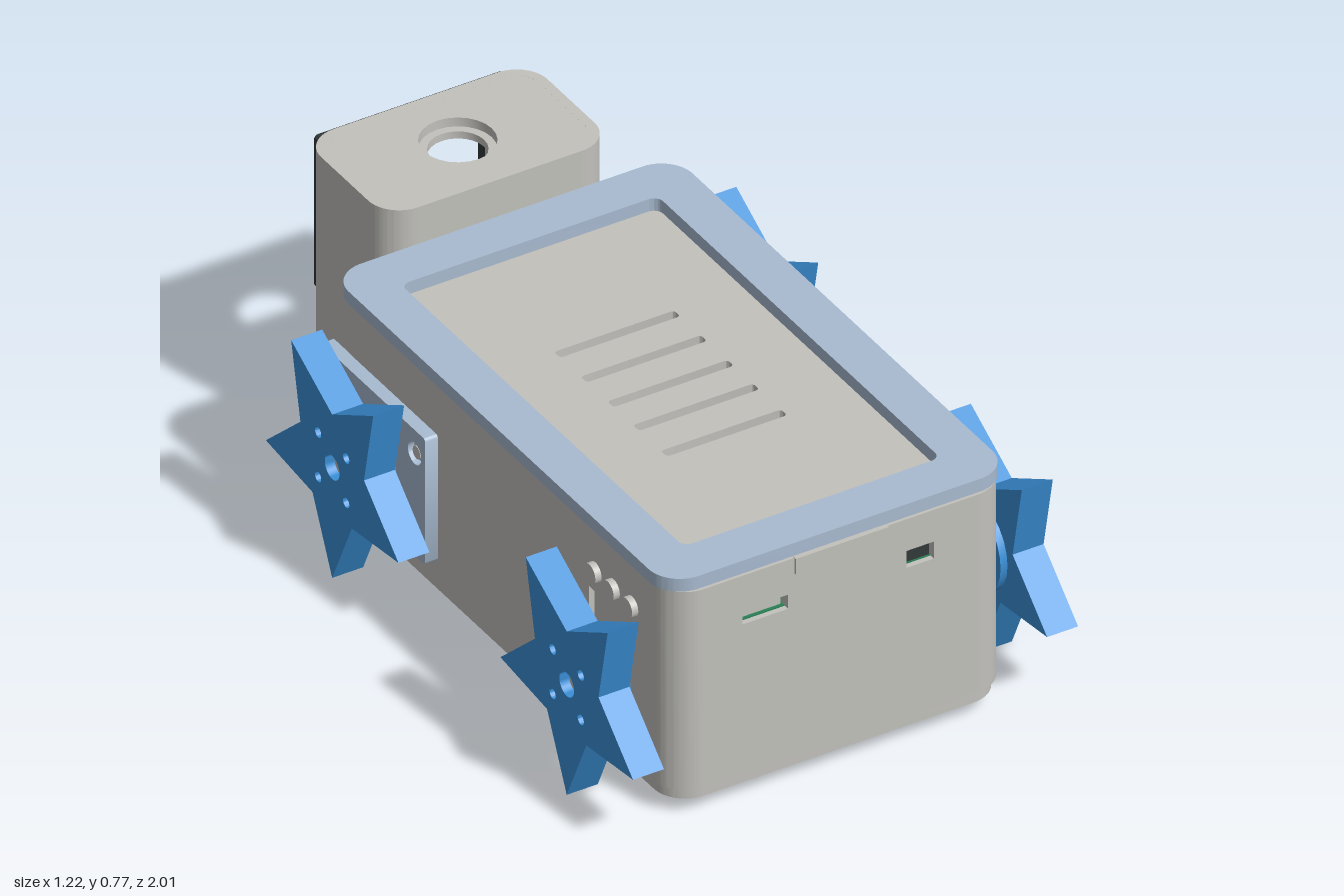
import * as THREE from 'three';
import { toCreasedNormals } from 'three/addons/utils/BufferGeometryUtils.js';

const mat = (name, color) => {
  const m = new THREE.MeshStandardMaterial({ color });
  m.name = name;
  return m;
};

export function createModel() {
  const gray = mat('warm gray', 0xc2c1bc);
  const paleBlue = mat('pale blue', 0xa8bbd0);
  const blue = mat('bright blue', 0x3a8fd6);
  const dark = mat('dark slate', 0x323838);
  const green = mat('board green', 0x2b8057);

  const root = new THREE.Group();
  root.name = 'rover';

  const add = (name, geo, material, x = 0, y = 0, z = 0, parent = root) => {
    const m = new THREE.Mesh(geo, material);
    m.name = name;
    m.position.set(x, y, z);
    parent.add(m);
    return m;
  };
  // box from its minimum and maximum corners
  const box = (name, material, x0, x1, y0, y1, z0, z1, parent) =>
    add(name, new THREE.BoxGeometry(x1 - x0, y1 - y0, z1 - z0), material,
      (x0 + x1) / 2, (y0 + y1) / 2, (z0 + z1) / 2, parent);

  // rounded rectangle and circle outlines
  const rect = (Type, x0, x1, y0, y1, r = 0) => {
    const s = new Type();
    if (!r) {
      s.moveTo(x0, y0); s.lineTo(x1, y0); s.lineTo(x1, y1); s.lineTo(x0, y1);
    } else {
      s.moveTo(x0 + r, y0);
      s.absarc(x1 - r, y0 + r, r, -Math.PI / 2, 0);
      s.absarc(x1 - r, y1 - r, r, 0, Math.PI / 2);
      s.absarc(x0 + r, y1 - r, r, Math.PI / 2, Math.PI);
      s.absarc(x0 + r, y0 + r, r, Math.PI, Math.PI * 1.5);
    }
    s.closePath();
    return s;
  };
  const circle = (x, y, r) => new THREE.Path().absarc(x, y, r, 0, Math.PI * 2, true);
  const extrude = (shape, depth, holes = []) => {
    shape.holes.push(...holes);
    return toCreasedNormals(
      new THREE.ExtrudeGeometry(shape, { depth, bevelEnabled: false, curveSegments: 12 }), 0.6);
  };
  // horizontal plate; shape y is -z
  const slab = (name, material, shape, y0, y1, holes, parent) =>
    add(name, extrude(shape, y1 - y0, holes).rotateX(-Math.PI / 2), material, 0, y0, 0, parent);
  // plates facing z, and facing x (shape x is -z)
  const wallZ = (name, material, shape, z0, t, holes, parent) =>
    add(name, extrude(shape, t, holes), material, 0, 0, z0, parent);
  const wallX = (name, material, shape, x0, t, holes, parent) =>
    add(name, extrude(shape, t, holes).rotateY(Math.PI / 2), material, x0, 0, 0, parent);
  const discX = (name, material, r, x0, x1, y, z, parent) =>
    add(name, new THREE.CylinderGeometry(r, r, x1 - x0, 28).rotateZ(-Math.PI / 2),
      material, (x0 + x1) / 2, y, z, parent);

  // hollow box with rounded upright corners; holes are listed per wall
  const shell = (name, w, y0, y1, z0, z1, r, t, holes) => {
    const g = new THREE.Group();
    g.name = name;
    root.add(g);
    const S = THREE.Shape;
    wallZ('frontWall', gray, rect(S, r - w, w - r, y0, y1), z1 - t, t, holes.front, g);
    wallZ('backWall', gray, rect(S, r - w, w - r, y0, y1), z0, t, holes.back, g);
    wallX('leftWall', gray, rect(S, r - z1, -z0 - r, y0, y1), w - t, t, holes.left, g);
    wallX('rightWall', gray, rect(S, r - z1, -z0 - r, y0, y1), -w, t, holes.right, g);
    for (const [cx, cz, a] of [[w - r, z0 + r, 0], [r - w, z0 + r, 1], [r - w, z1 - r, 2], [w - r, z1 - r, 3]]) {
      const a0 = a * Math.PI / 2, a1 = a0 + Math.PI / 2;
      const s = new THREE.Shape();
      s.absarc(cx, -cz, r, a0, a1, false);
      s.absarc(cx, -cz, r - t, a1, a0, true);
      slab('corner', gray, s, y0, y1, [], g);
    }
    return g;
  };
  const P = THREE.Path, S = THREE.Shape;

  // main body with port and motor openings
  const motorHole = () => rect(P, -0.84, -0.57, 0.18, 0.46);
  const body = shell('body', 0.465, 0.075, 0.635, -0.585, 0.94, 0.09, 0.03, {
    front: [rect(P, -0.27, -0.145, 0.497, 0.537), rect(P, 0.18, 0.255, 0.497, 0.545)],
    back: [],
    left: [motorHole(), rect(P, -0.65, -0.5, 0.505, 0.54)],
    right: [motorHole()],
  });
  box('latch', gray, -0.128, 0.128, 0.592, 0.636, 0.935, 0.947, body);
  box('neck', gray, -0.27, 0.27, 0.3, 0.57, -0.6, -0.57, body);

  // slotted top panel and its raised rim
  const slots = [-0.065, 0.055, 0.175, 0.29, 0.415];
  slab('topPanel', gray, rect(S, -0.45, 0.45, -0.92, 0.57, 0.08), 0.612, 0.637,
    slots.map(z => rect(P, -0.165, 0.165, -z - 0.014, -z + 0.014, 0.01)), body);
  slab('lidRim', paleBlue, rect(S, -0.471, 0.471, -0.933, 0.583, 0.085), 0.636, 0.672,
    [rect(P, -0.352, 0.352, -0.81, 0.46, 0.025)]);

  // base plate with vents and screw holes
  const baseHoles = [0.2, 0.13, 0.06, -0.01].map(z => rect(P, -0.33, 0.33, -z - 0.014, -z + 0.014, 0.012));
  for (const x of [-0.23, 0.23])
    for (const z of [-0.36, -0.14, 0.8]) {
      baseHoles.push(circle(x, -z, 0.022));
      add('baseScrew', new THREE.CylinderGeometry(0.022, 0.022, 0.012, 16), gray, x, 0.062, z);
    }
  slab('basePlate', gray, rect(S, -0.455, 0.455, -0.93, 0.55, 0.085), 0.042, 0.078, baseHoles);

  // electronics behind the openings
  const parts = new THREE.Group();
  parts.name = 'electronics';
  root.add(parts);
  box('circuitBoard', green, -0.32, 0.32, 0.48, 0.5, -0.25, 0.925, parts);
  box('boardModule', gray, -0.02, 0.25, 0.5, 0.55, -0.005, 0.36, parts);
  box('chip', dark, 0.04, 0.1, 0.5, 0.52, -0.1, -0.035, parts);
  box('widePort', gray, -0.262, -0.153, 0.503, 0.537, 0.8, 0.92, parts);
  box('smallPort', dark, 0.183, 0.252, 0.5, 0.532, 0.8, 0.922, parts);
  box('sidePort', dark, 0.33, 0.445, 0.5, 0.54, 0.49, 0.66, parts);

  // three buttons on the right side
  for (const z of [0.6, 0.682, 0.765]) discX('button', gray, 0.027, -0.482, -0.45, 0.517, z);

  // head with an open screen window and a round top opening
  const headBack = [rect(P, -0.19, 0.19, 0.43, 0.65)];
  const head = shell('head', 0.31, 0.22, 0.77, -0.97, -0.59, 0.085, 0.025,
    { front: [], back: headBack, left: [], right: [] });
  const capShape = () => rect(S, -0.3, 0.3, 0.6, 0.96, 0.075);
  slab('headTop', gray, capShape(), 0.745, 0.7699, [circle(0, 0.78, 0.093)], head);
  slab('headTopStep', gray, capShape(), 0.725, 0.745, [circle(0, 0.78, 0.072)], head);
  slab('headBottom', gray, capShape(), 0.2201, 0.245, [], head);

  // dark screen frame with four screws
  const frameHoles = [rect(P, -0.19, 0.19, 0.43, 0.65)];
  for (const x of [-0.23, 0.23])
    for (const y of [0.35, 0.72]) {
      frameHoles.push(circle(x, y, 0.016));
      add('frameScrew', new THREE.CylinderGeometry(0.016, 0.016, 0.016, 14).rotateX(Math.PI / 2),
        dark, x, y, -0.978, head);
    }
  wallZ('screenFrame', dark, rect(S, -0.26, 0.26, 0.317, 0.747, 0.012), -1, 0.03, frameHoles, head);

  // five-pointed wheel outline, one point down
  const star = () => {
    const s = new THREE.Shape();
    for (let i = 0; i < 10; i++) {
      const a = -Math.PI / 2 + i * Math.PI / 5, r = i % 2 ? 0.15 : 0.313;
      s[i ? 'lineTo' : 'moveTo'](r * Math.cos(a), r * Math.sin(a));
    }
    s.closePath();
    return s;
  };
  const wheelHoles = () => {
    const h = [circle(0, 0, 0.033)];
    for (const u of [-0.063, 0.063]) for (const v of [-0.063, 0.063]) h.push(circle(u, v, 0.014));
    return h;
  };

  // wheels, motors and rear motor plates, each side turned about y
  for (const [side, sx] of [['left', 1], ['right', -1]]) {
    for (const [end, z] of [['front', 0.708], ['rear', -0.345]]) {
      const g = new THREE.Group();
      g.name = `${side}${end === 'front' ? 'Front' : 'Rear'}Wheel`;
      g.position.set(0, 0.313, z);
      g.rotation.y = sx > 0 ? 0 : Math.PI;
      root.add(g);
      wallX('starWheel', blue, star(), 0.525, 0.085, wheelHoles(), g);
      const hub = new THREE.Shape().absarc(0, 0, 0.12, 0, Math.PI * 2, false);
      wallX('hub', blue, hub, 0.506, 0.02, wheelHoles(), g);
      discX('axle', gray, 0.031, 0.42, 0.585, 0, 0, g);
      if (end === 'front') {
        box('motor', gray, 0.3, 0.455, -0.13, 0.143, -0.13, 0.13, g);
      } else {
        const bolts = [[-0.19, -0.11], [0.19, -0.11], [-0.19, 0.112], [0.19, 0.112]];
        wallX('motorPlate', paleBlue, rect(S, -0.237, 0.237, -0.178, 0.178, 0.008), 0.464, 0.036,
          bolts.map(([u, v]) => circle(u, v, 0.03)), g);
        for (const [u, v] of bolts) {
          discX('boltSeat', paleBlue, 0.03, 0.464, 0.482, v, -u, g);
          discX('bolt', gray, 0.017, 0.48, 0.495, v, -u, g);
        }
      }
    }
  }
  return root;
}
